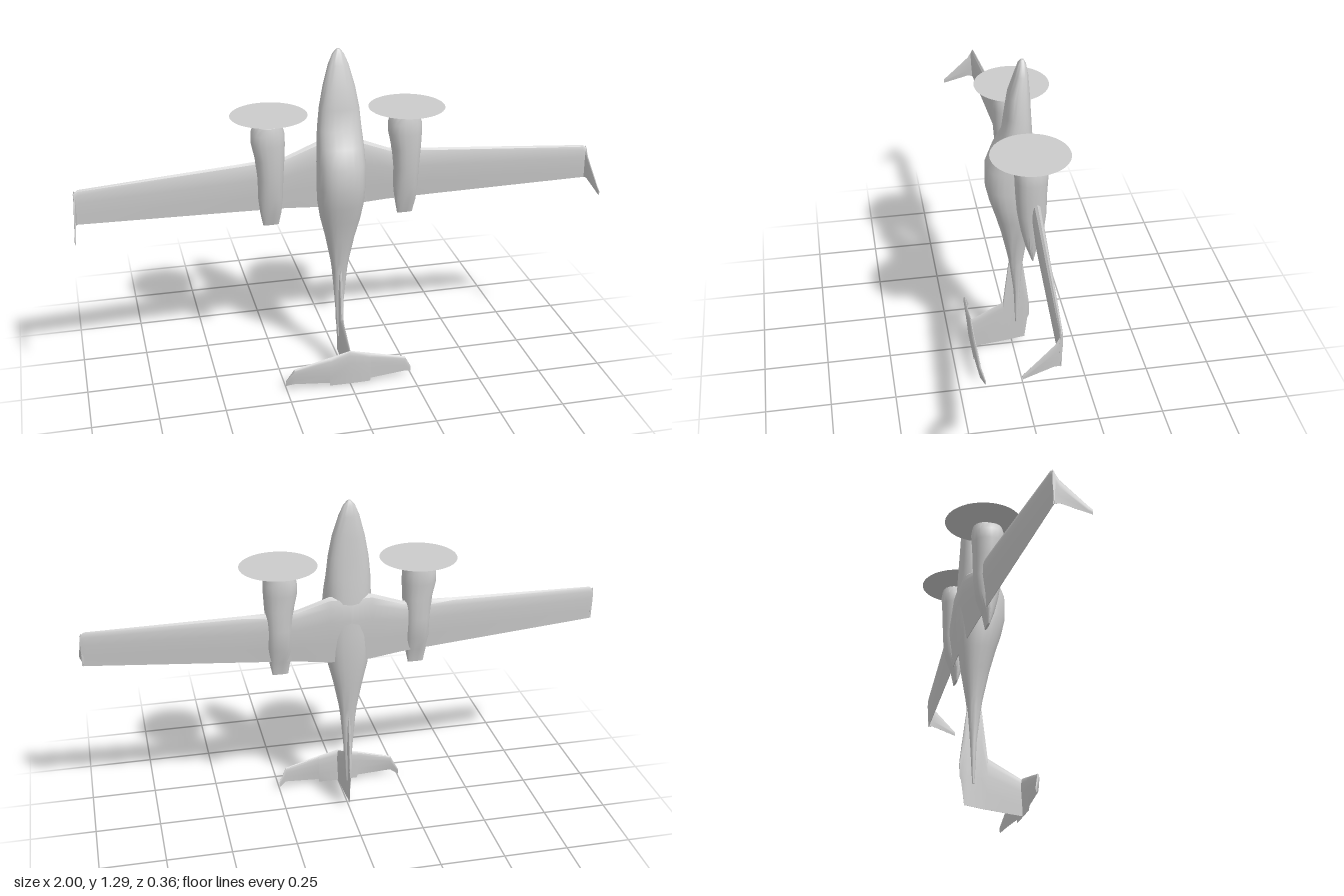
import * as THREE from 'three';
import { toCreasedNormals } from 'three/addons/utils/BufferGeometryUtils.js';

const material = new THREE.MeshStandardMaterial({ color: 0xcccccc, side: THREE.DoubleSide });

// Skin a list of equal-length closed rings of [x, y, z], cap both ends, face outward.
function loft(name, rings, crease = 0.6) {
  const n = rings[0].length;
  const points = rings.flat();
  const faces = [];
  for (let r = 0; r < rings.length - 1; r++) {
    for (let i = 0; i < n; i++) {
      const a = r * n + i, b = r * n + (i + 1) % n;
      faces.push([a, b, b + n], [a, b + n, a + n]);
    }
  }
  const last = (rings.length - 1) * n;
  for (let i = 1; i < n - 1; i++) {
    faces.push([0, i + 1, i], [last, last + i, last + i + 1]);
  }
  // signed volume tells whether the winding must be flipped
  const v = points.map((p) => new THREE.Vector3(...p));
  const volume = faces.reduce((sum, [a, b, c]) => sum + v[a].dot(v[b].clone().cross(v[c])), 0);
  if (volume < 0) faces.forEach((f) => f.reverse());

  let geometry = new THREE.BufferGeometry();
  geometry.setAttribute('position', new THREE.Float32BufferAttribute(points.flat(), 3));
  geometry.setIndex(faces.flat());
  geometry = toCreasedNormals(geometry, crease);
  const mesh = new THREE.Mesh(geometry, material);
  mesh.name = name;
  return mesh;
}

// Rounded body along y. Section: [y, centre x, half width, z min, z max]
function body(name, sections, sides, power) {
  const soft = (c) => Math.sign(c) * Math.abs(c) ** (2 / power);
  return loft(name, sections.map(([y, cx, rx, z0, z1]) =>
    Array.from({ length: sides }, (_, i) => {
      const t = (i / sides) * Math.PI * 2;
      return [cx + rx * soft(Math.cos(t)), y, (z0 + z1) / 2 + ((z1 - z0) / 2) * soft(Math.sin(t))];
    })));
}

// Thin aerofoil with its chord along y.
// Section: [x, z, leading y, trailing y, thickness in x, thickness in z]
const FOIL = [[0, 0], [0.04, 0.3], [0.14, 0.47], [0.35, 0.5], [0.7, 0.25], [1, 0.03],
  [1, -0.03], [0.7, -0.25], [0.35, -0.5], [0.14, -0.47], [0.04, -0.3]];
function foil(name, sections, side = 1) {
  return loft(name, sections.map(([x, z, lead, trail, tx, tz]) =>
    FOIL.map(([c, h]) => [side * (x + h * tx), lead + (trail - lead) * c, z + h * tz])));
}

export function createModel() {
  const plane = new THREE.Group();
  plane.name = 'twinEngineAeroplane';

  // fuselage, nose pointing up, canopy toward +z
  plane.add(body('fuselage', [
    [1.297, 0, 0.006, -0.042, -0.03],
    [1.28, 0, 0.021, -0.05, -0.02],
    [1.24, 0, 0.038, -0.057, -0.008],
    [1.16, 0, 0.06, -0.063, 0.017],
    [1.08, 0, 0.075, -0.067, 0.028],
    [1.0, 0, 0.083, -0.072, 0.039],
    [0.94, 0, 0.087, -0.076, 0.074],
    [0.87, 0, 0.09, -0.079, 0.102],
    [0.78, 0, 0.09, -0.08, 0.103],
    [0.71, 0, 0.087, -0.077, 0.087],
    [0.64, 0, 0.076, -0.071, 0.065],
    [0.56, 0, 0.056, -0.062, 0.043],
    [0.45, 0, 0.034, -0.045, 0.019],
    [0.41, 0, 0.029, -0.04, 0.012],
    [0.28, 0, 0.018, -0.031, -0.004],
    [0.115, 0, 0.007, -0.021, -0.012],
  ], 24, 2.5));

  // fin, dorsal strake, ventral fin and rudder in one blade
  plane.add(foil('tailFin', [
    [0, -0.068, 0.2, 0.14, 0.008, 0],
    [0, -0.062, 0.25, 0.125, 0.009, 0],
    [0, -0.05, 0.34, 0.03, 0.011, 0],
    [0, -0.04, 0.415, 0.03, 0.012, 0],
    [0, 0.014, 0.42, 0.022, 0.013, 0],
    [0, 0.038, 0.217, 0.019, 0.013, 0],
    [0, 0.168, 0.145, 0.005, 0.01, 0],
  ]));

  for (const side of [1, -1]) {
    const prefix = side > 0 ? 'left' : 'right';

    // wing with dihedral
    plane.add(foil(prefix + 'Wing', [
      [0, -0.058, 0.935, 0.665, 0, 0.045],
      [0.08, -0.055, 0.935, 0.668, 0, 0.045],
      [0.2, -0.045, 0.89, 0.68, 0, 0.038],
      [0.4, -0.031, 0.879, 0.69, 0, 0.03],
      [0.97, 0.01, 0.853, 0.717, 0, 0.016],
      [0.988, 0.012, 0.84, 0.718, 0, 0.01],
    ], side));

    // swept winglet
    plane.add(foil(prefix + 'Winglet', [
      [0.983, 0.008, 0.85, 0.717, 0.008, 0],
      [0.986, 0.03, 0.81, 0.722, 0.007, 0],
      [0.994, 0.122, 0.72, 0.694, 0.005, 0],
      [0.996, 0.136, 0.708, 0.69, 0.003, 0],
    ], side));

    // tailplane half with drooped tip
    plane.add(foil(prefix + 'Tailplane', [
      [0, 0.17, 0.15, 0.004, 0, 0.014],
      [0.08, 0.17, 0.13, 0.005, 0, 0.013],
      [0.082, 0.17, 0.13, 0.018, 0, 0.013],
      [0.22, 0.165, 0.093, 0.028, 0, 0.009],
      [0.25, 0.148, 0.036, 0.014, 0, 0.004],
    ], side));

    // engine nacelle, same handed on both wings
    const nacelle = body(prefix + 'Nacelle', [
      [1.04, -0.003, 0.035, -0.07, 0.015],
      [1.03, -0.004, 0.05, -0.082, 0.027],
      [1.0, -0.006, 0.062, -0.087, 0.034],
      [0.96, -0.006, 0.063, -0.084, 0.034],
      [0.9, -0.001, 0.055, -0.08, 0.032],
      [0.82, 0, 0.049, -0.079, 0.026],
      [0.74, 0, 0.047, -0.069, 0.012],
      [0.68, 0, 0.041, -0.045, -0.003],
      [0.625, 0, 0.03, -0.032, -0.023],
    ], 18, 2.4);
    nacelle.position.x = side * 0.263;
    plane.add(nacelle);

    // spinning propeller shown as a thin disc
    const disc = new THREE.Mesh(new THREE.CircleGeometry(0.144, 48), material);
    disc.name = prefix + 'PropellerDisc';
    disc.rotation.x = -Math.PI / 2;
    disc.position.set(side * 0.261, 1.06, side > 0 ? -0.021 : -0.041);
    plane.add(disc);
  }

  return plane;
}
